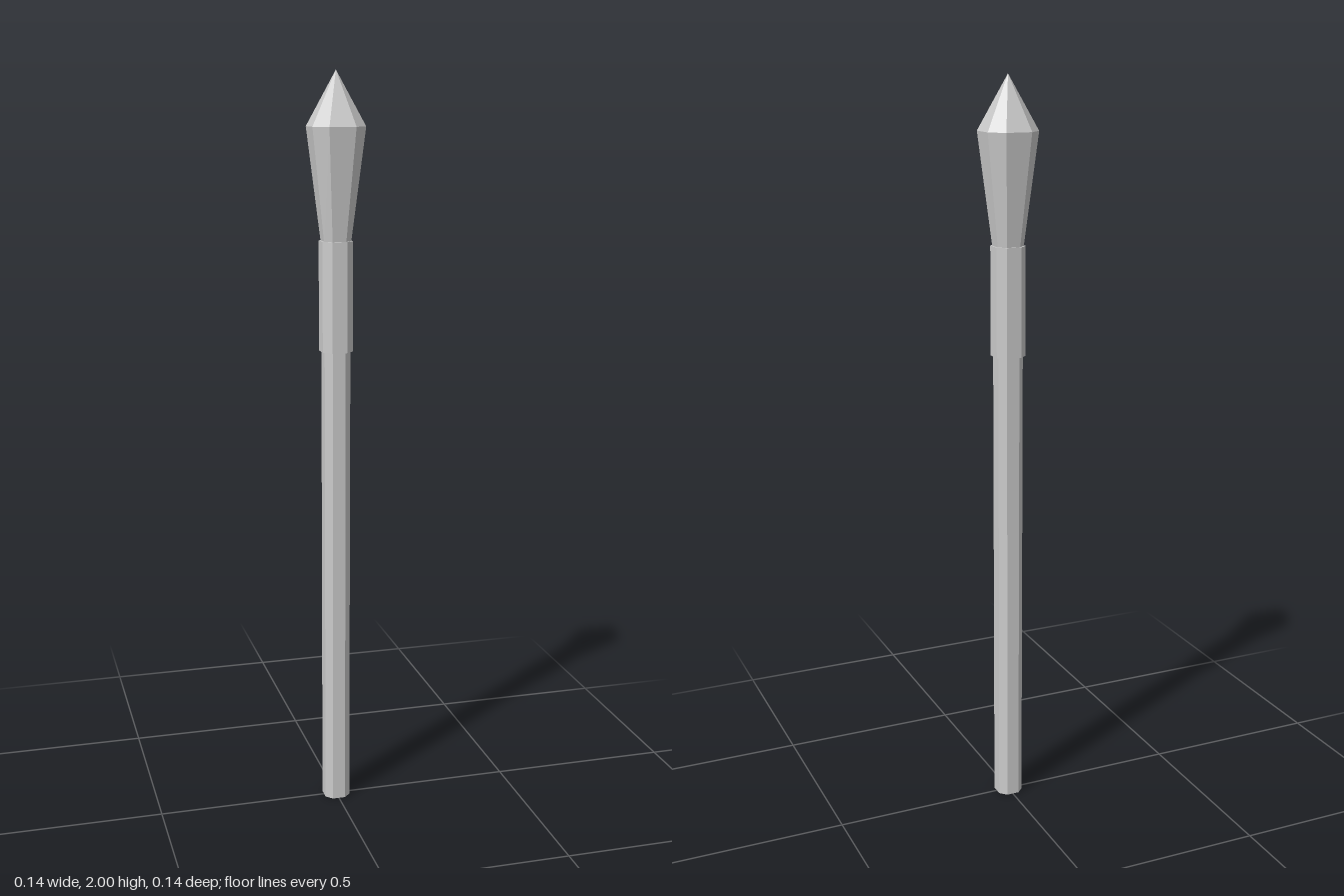
import * as THREE from 'three';

const material = new THREE.MeshStandardMaterial({ color: 0xcccccc, flatShading: true });

// Eight-sided section: a square of half-width r whose flats are half as wide as the square
function octagonal(name, rTop, rBottom, y0, y1, openEnded = false) {
  const geometry = new THREE.CylinderGeometry(rTop, rBottom, y1 - y0, 8, 1, openEnded, Math.PI / 8);
  const p = geometry.attributes.position;
  for (let i = 0; i < p.count; i++) {
    const x = p.getX(i), z = p.getZ(i), r = Math.hypot(x, z);
    const wide = Math.abs(x) > Math.abs(z);
    p.setX(i, Math.sign(x) * r * (wide ? 1 : 0.5));
    p.setZ(i, Math.sign(z) * r * (wide ? 0.5 : 1));
  }
  geometry.translate(0, (y0 + y1) / 2, 0);
  geometry.computeVertexNormals();
  const mesh = new THREE.Mesh(geometry, material);
  mesh.name = name;
  return mesh;
}

export function createModel() {
  const model = new THREE.Group();
  model.name = 'spear';

  // Shaft, with the socket sleeve around its upper end
  model.add(octagonal('shaft', 0.035, 0.035, 0, 1.3));
  model.add(octagonal('socket', 0.041, 0.041, 1.28, 1.57));

  // Head: flaring body and pointed tip
  const head = new THREE.Group();
  head.name = 'head';
  head.add(octagonal('headBody', 0.0705, 0.036, 1.565, 1.86, true));
  head.add(octagonal('headTip', 0, 0.0705, 1.86, 2, true));
  model.add(head);

  return model;
}
